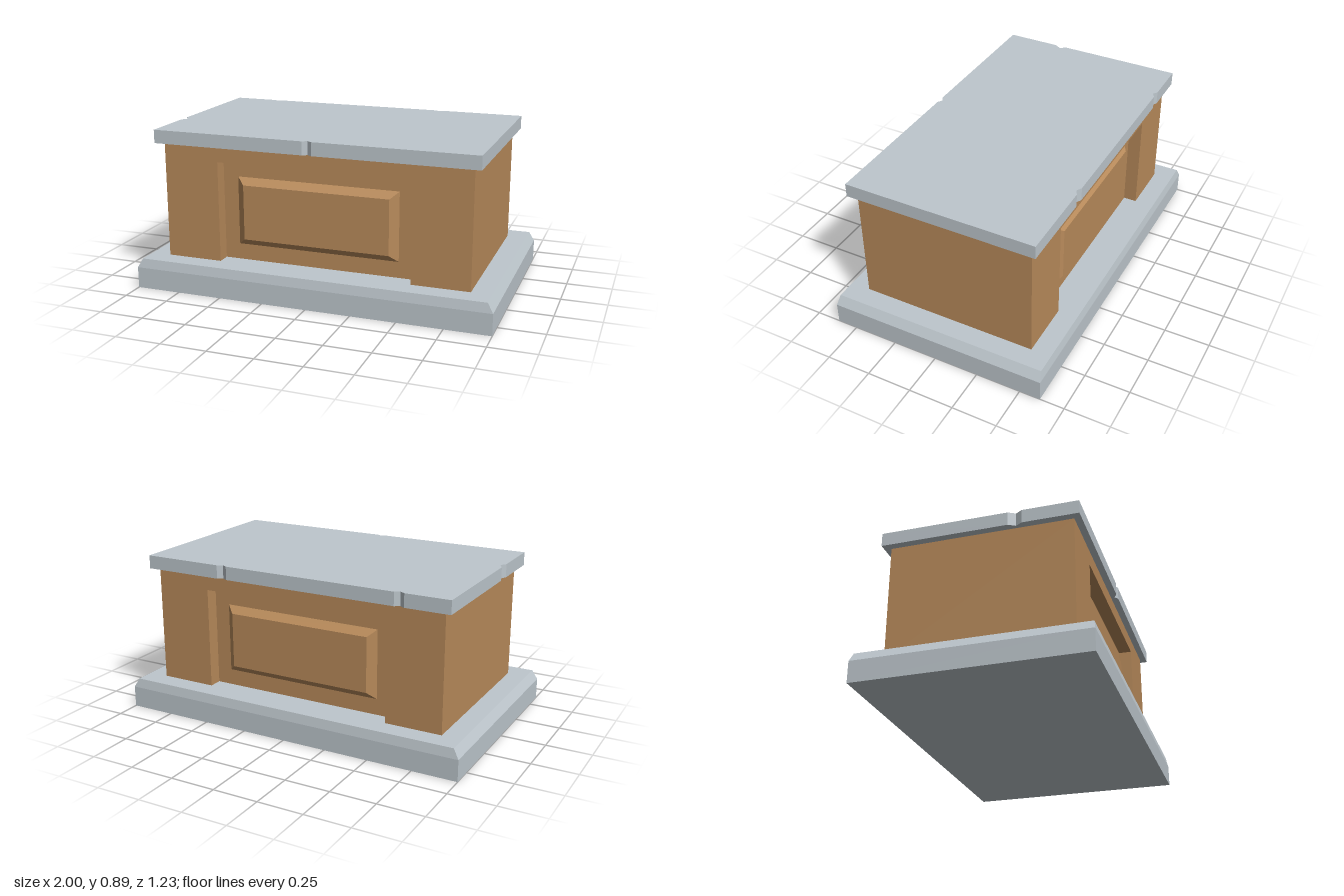
import * as THREE from 'three';

const stone = new THREE.MeshStandardMaterial({ color: 0xbec7cd, flatShading: true });
const wood = new THREE.MeshStandardMaterial({ color: 0xb98b5b, flatShading: true });

function addMesh(parent, name, geometry, material) {
  const mesh = new THREE.Mesh(geometry, material);
  mesh.name = name;
  parent.add(mesh);
  return mesh;
}

// Move every vertex by a rule, then give each face its own flat normal
function reshape(geometry, rule) {
  const flat = geometry.toNonIndexed();
  const pos = flat.attributes.position;
  const v = new THREE.Vector3();
  for (let i = 0; i < pos.count; i++) {
    rule(v.fromBufferAttribute(pos, i));
    pos.setXYZ(i, v.x, v.y, v.z);
  }
  flat.computeVertexNormals();
  return flat;
}

const outline = (points) => new THREE.Shape(points.map(([x, y]) => new THREE.Vector2(x, y)));

export function createModel() {
  const model = new THREE.Group();
  model.name = 'pedestal';

  // Plinth: straight lower sides, chamfered upper edge
  const plinth = reshape(new THREE.BoxGeometry(2, 0.17, 1.23, 1, 2, 1), (v) => {
    if (v.y > 0.01) {
      v.x -= Math.sign(v.x) * 0.03;
      v.z -= Math.sign(v.z) * 0.01;
      v.y = 0.17;
    } else {
      v.y = v.y < -0.01 ? 0 : 0.118;
    }
  });
  addMesh(model, 'plinth', plinth, stone);

  // Body: an arch running front to back, filled by a set-back core
  const depth = 0.99;
  const recess = 0.075;
  const arch = new THREE.ExtrudeGeometry(
    outline([
      [-0.86, 0.17], [-0.545, 0.17], [-0.545, 0.73], [0.542, 0.73],
      [0.542, 0.17], [0.86, 0.17], [0.86, 0.817], [-0.86, 0.817],
    ]),
    { depth, bevelEnabled: false }
  );
  arch.translate(0, 0, -depth / 2);
  addMesh(model, 'body', arch, wood);

  const core = new THREE.BoxGeometry(1.087, 0.56, depth - 2 * recess);
  addMesh(model, 'recessedWall', core, wood).position.set(-0.0015, 0.45, 0);

  // Raised panels with sloping borders, one in each recess
  const panelDepth = 0.036;
  const panel = reshape(new THREE.BoxGeometry(0.915, 0.382, panelDepth), (v) => {
    if (v.z > 0) {
      v.x -= Math.sign(v.x) * 0.045;
      v.y -= Math.sign(v.y) * 0.038;
    }
  });
  for (const side of [1, -1]) {
    const mesh = addMesh(model, side > 0 ? 'frontPanel' : 'backPanel', panel, wood);
    mesh.position.set(-0.002, 0.45, side * (depth / 2 - recess + panelDepth / 2));
    if (side < 0) mesh.rotation.y = Math.PI;
  }

  // Top slab with small chips in its rim; outline is x and -z
  const slab = new THREE.ExtrudeGeometry(
    outline([
      [-0.902, -0.532],
      [-0.04, -0.532], [-0.013, -0.515], [0.013, -0.532],
      [0.9, -0.532], [0.9, 0.533],
      [0.447, 0.533], [0.418, 0.516], [0.388, 0.533],
      [-0.6, 0.533], [-0.628, 0.516], [-0.655, 0.533],
      [-0.902, 0.533],
      [-0.902, -0.158], [-0.88, -0.197], [-0.902, -0.232],
    ]),
    { depth: 0.074, bevelEnabled: false }
  );
  slab.rotateX(-Math.PI / 2);
  addMesh(model, 'topSlab', slab, stone).position.y = 0.816;

  return model;
}
